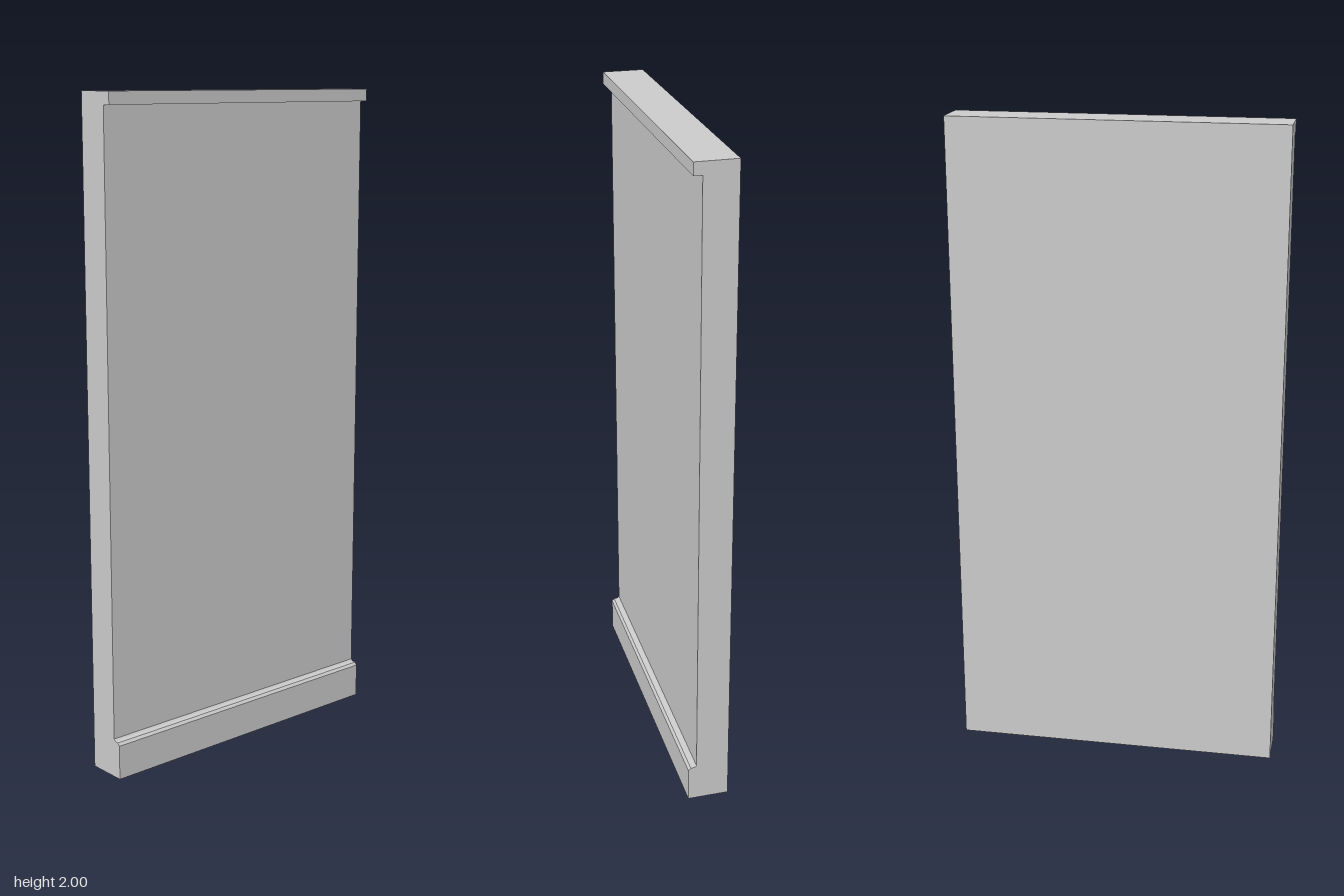
import * as THREE from 'three';

const WIDTH = 1;
const BACK = -0.0625, FACE = 0.0375, FRONT = 0.0625;

// Extrudes a [z, y] profile across the full width of the wall
function strip(name, profile, material) {
  const shape = new THREE.Shape(profile.map(([z, y]) => new THREE.Vector2(z, y)));
  const geometry = new THREE.ExtrudeGeometry(shape, { depth: WIDTH, bevelEnabled: false });
  geometry.rotateY(-Math.PI / 2).translate(WIDTH / 2, 0, 0);
  const mesh = new THREE.Mesh(geometry, material);
  mesh.name = name;
  return mesh;
}

export function createModel() {
  const group = new THREE.Group();
  group.name = 'wallPanel';
  const material = new THREE.MeshStandardMaterial({ color: 0xcccccc });

  // Plain slab
  group.add(strip('wall', [[BACK, 0], [FACE, 0], [FACE, 2], [BACK, 2]], material));

  // Skirting board with an eased top edge
  group.add(strip('baseboard', [
    [FACE, 0], [FRONT, 0], [FRONT, 0.105], [0.055, 0.113], [0.043, 0.115], [FACE, 0.12],
  ], material));

  // Square trim along the top
  group.add(strip('topTrim', [[FACE, 1.963], [FRONT, 1.963], [FRONT, 2], [FACE, 2]], material));

  return group;
}
